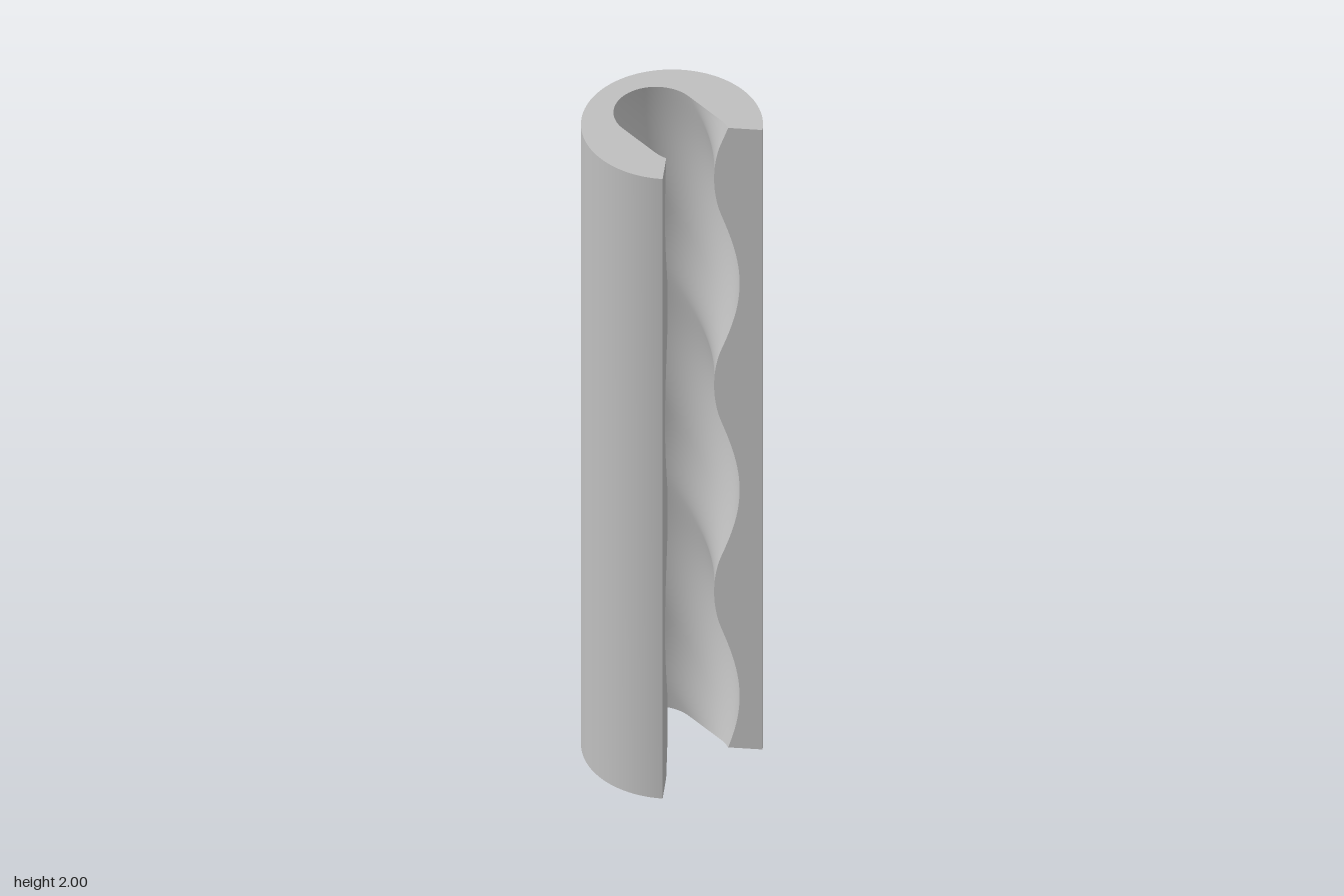
import * as THREE from 'three';

const HEIGHT = 2;
const OUTER = 0.2343;          // outer radius
const LOBE = 0.109;            // radius of the cavity's rounded ends
const OFFSET = 0.066;          // distance of those ends from the axis
const TWIST = 1.5 * Math.PI;   // cavity rotation per unit of height
const START = Math.PI / 4;     // the open quarter faces +x
const SWEEP = 1.5 * Math.PI;
const AXIS_X = 0.0343;

// Distance from the axis to the twisted, slot-shaped cavity wall
function cavityRadius(theta, y) {
  const psi = theta - (HEIGHT - y) * TWIST;
  const c = Math.abs(Math.cos(psi)), s = Math.abs(Math.sin(psi));
  if (c * LOBE <= OFFSET * s) return LOBE / s;
  return OFFSET * c + Math.sqrt(LOBE * LOBE - OFFSET * OFFSET * s * s);
}

// Point in the wall: around (a), up (h) and from cavity to outside (t), each 0..1
function wallPoint(a, h, t) {
  const theta = START + a * SWEEP, y = h * HEIGHT;
  const r = THREE.MathUtils.lerp(cavityRadius(theta, y), OUTER, t);
  return [AXIS_X + r * Math.cos(theta), y, r * Math.sin(theta)];
}

// Grid surface from a rule f(u, v); flip turns its front around
function patch(f, nu, nv, flip) {
  const positions = [], index = [];
  for (let j = 0; j <= nv; j++)
    for (let i = 0; i <= nu; i++) positions.push(...f(i / nu, j / nv));
  for (let j = 0; j < nv; j++)
    for (let i = 0; i < nu; i++) {
      const a = j * (nu + 1) + i, b = a + 1, d = a + nu + 1, c = d + 1;
      if (flip) index.push(a, c, b, a, d, c);
      else index.push(a, b, c, a, c, d);
    }
  const geometry = new THREE.BufferGeometry();
  geometry.setAttribute('position', new THREE.Float32BufferAttribute(positions, 3));
  geometry.setIndex(index);
  geometry.computeVertexNormals();
  return geometry;
}

export function createModel() {
  const group = new THREE.Group();
  group.name = 'cutawayTwistedSleeve';
  const steel = new THREE.MeshStandardMaterial({ color: 0xbfbfbf });
  steel.name = 'grey metal';

  const add = (name, geometry) => {
    const mesh = new THREE.Mesh(geometry, steel);
    mesh.name = name;
    group.add(mesh);
  };

  // Round outside and twisted cavity
  add('outerWall', patch((u, v) => wallPoint(u, v, 1), 144, 1, true));
  add('twistedCavity', patch((u, v) => wallPoint(u, v, 0), 144, 180, false));

  // Flat ends
  add('topEnd', patch((u, v) => wallPoint(u, 1, v), 144, 1, false));
  add('bottomEnd', patch((u, v) => wallPoint(u, 0, v), 144, 1, true));

  // Flat faces of the cutaway, with wavy inner edges
  add('frontCutFace', patch((u, v) => wallPoint(0, v, u), 1, 180, true));
  add('backCutFace', patch((u, v) => wallPoint(1, v, u), 1, 180, false));

  return group;
}
